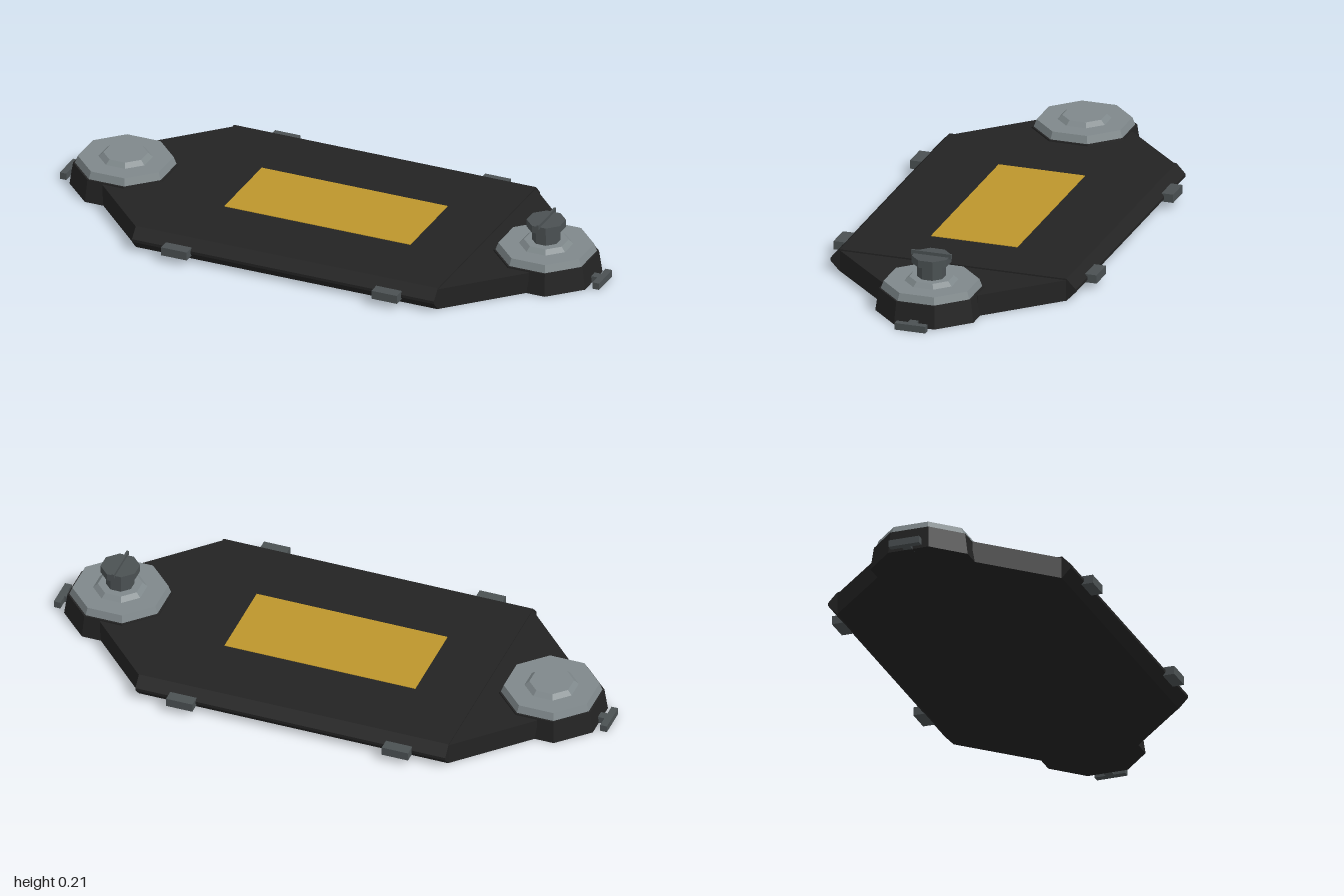
import * as THREE from 'three';

const mat = (name, color) => {
  const m = new THREE.MeshStandardMaterial({ color });
  m.name = name;
  return m;
};

export function createModel() {
  const model = new THREE.Group();
  model.name = 'device';
  const black = mat('casing black', 0x232323);
  const grey = mat('plate grey', 0x7f888b);
  const dark = mat('fitting dark grey', 0x4b5153);
  const gold = mat('panel gold', 0xbd962c);

  const add = (parent, name, geo, material, x = 0, y = 0, z = 0) => {
    const mesh = new THREE.Mesh(geo, material);
    mesh.name = name;
    mesh.position.set(x, y, z);
    parent.add(mesh);
    return mesh;
  };
  const box = (w, h, d) => new THREE.BoxGeometry(w, h, d);
  // Flat-sided octagonal frustum sized by its half width, standing on y = 0
  const octagon = (top, bottom, h) => {
    const k = 1 / Math.cos(Math.PI / 8);
    const g = new THREE.CylinderGeometry(top * k, bottom * k, h, 8);
    g.rotateY(Math.PI / 8).translate(0, h / 2, 0);
    const flat = g.toNonIndexed();
    flat.computeVertexNormals();
    return flat;
  };
  const extrude = (points, depth) => new THREE.ExtrudeGeometry(
    new THREE.Shape(points.map(([x, y]) => new THREE.Vector2(x, y))),
    { depth, bevelEnabled: false });

  // Central slab with bevelled long edges
  const slab = extrude([[-0.407, 0], [0.407, 0], [0.44, 0.035], [0.44, 0.045],
    [0.407, 0.08], [-0.407, 0.08], [-0.44, 0.045], [-0.44, 0.035]], 1.12);
  slab.translate(0, 0, -0.56).rotateY(Math.PI / 2);
  add(model, 'centralSlab', slab, black);
  add(model, 'goldPanel', box(0.69, 0.004, 0.31), gold, 0, 0.08, 0);

  for (const s of [1, -1]) {
    const end = new THREE.Group();
    end.name = s > 0 ? 'leftEnd' : 'rightEnd';
    end.rotation.y = s > 0 ? 0 : Math.PI;
    model.add(end);

    // Tapering wedge that joins the slab to the pod
    const wedge = extrude([[0.55, -0.407], [0.56, -0.405], [0.79, -0.17],
      [0.79, 0.17], [0.56, 0.405], [0.55, 0.407]], 0.075);
    wedge.rotateX(-Math.PI / 2);
    add(end, 'wedge', wedge, black);

    // Pod with stacked octagonal plates
    add(end, 'pod', octagon(0.165, 0.176, 0.08), black, 0.78);
    add(end, 'podPlate', octagon(0.15, 0.159, 0.026), grey, 0.78, 0.08);
    add(end, 'podBoss', octagon(0.07, 0.086, 0.016), grey, 0.78, 0.105);

    // T-shaped end clip
    add(end, 'endClipStem', box(0.06, 0.024, 0.03), dark, 0.955, 0.012);
    add(end, 'endClipBar', box(0.024, 0.024, 0.11), dark, 0.988, 0.012);

    // Clips along the long sides
    for (const z of [1, -1])
      add(end, 'sideClip', box(0.095, 0.03, 0.07), dark, 0.39, 0.04, z * 0.437);
  }

  // Turning knob on the left pod
  const knob = new THREE.Group();
  knob.name = 'knob';
  knob.position.set(0.78, 0.12, 0);
  model.add(knob);
  add(knob, 'knobPost', octagon(0.045, 0.045, 0.05), dark);
  add(knob, 'knobCap', octagon(0.062, 0.062, 0.026), dark, 0, 0.05);
  add(knob, 'knobFin', box(0.008, 0.017, 0.144), dark, 0, 0.079);

  return model;
}
